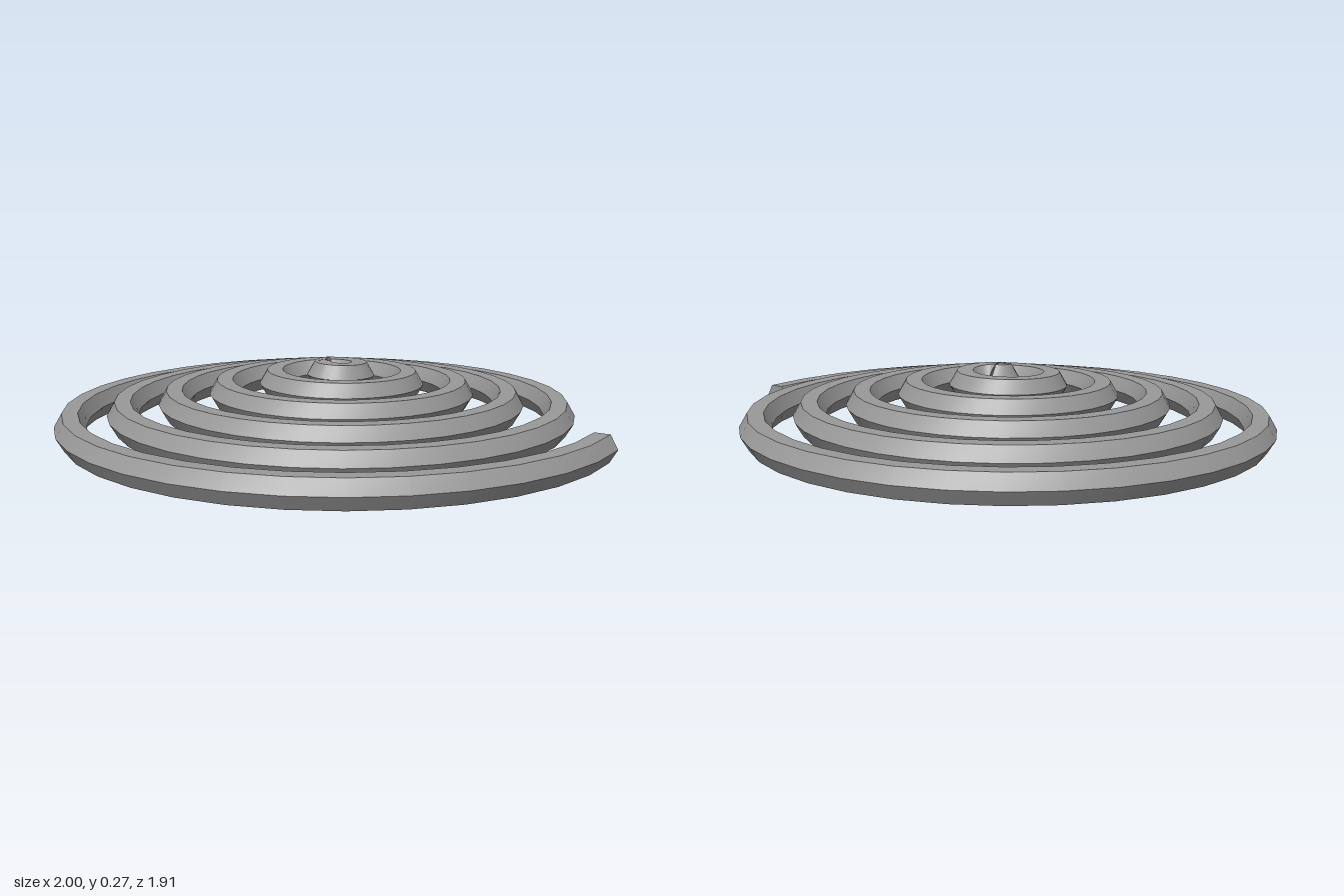
import * as THREE from 'three';
import { toCreasedNormals } from 'three/addons/utils/BufferGeometryUtils.js';

const TURNS = 5.5, STEPS = 198, SIDES = 6;
const OUTER = 0.99, PITCH = 0.18, RISE = 0.171, BAR = 0.055;
const HALF_HEIGHT = BAR * Math.sin(Math.PI / 3);
const UP = new THREE.Vector3(0, 1, 0);

// Spiral centre line: starts at the outer end, winds inward and climbs
function spiralPoint(t) {
  const a = t * TURNS * Math.PI * 2;
  const r = OUTER - PITCH * TURNS * t;
  return new THREE.Vector3(
    r * Math.cos(a) - 0.045, HALF_HEIGHT + RISE * t, r * Math.sin(a) - 0.045);
}

// Sweep a flat-topped hexagon square to the centre line and cap both ends
function hexSweep() {
  const path = Array.from({ length: STEPS + 1 }, (_, i) => spiralPoint(i / STEPS));
  const positions = [], index = [];
  path.forEach((p, i) => {
    const along = path[Math.min(i + 1, STEPS)].clone().sub(path[Math.max(i - 1, 0)]);
    const side = new THREE.Vector3().crossVectors(UP, along).normalize();
    const rise = new THREE.Vector3().crossVectors(along, side).normalize();
    for (let j = 0; j < SIDES; j++) {
      const a = j / SIDES * Math.PI * 2;
      const v = p.clone().addScaledVector(side, BAR * Math.cos(a))
        .addScaledVector(rise, BAR * Math.sin(a));
      positions.push(v.x, v.y, v.z);
    }
  });
  for (let i = 0; i < STEPS; i++) {
    for (let j = 0; j < SIDES; j++) {
      const a = i * SIDES + j, b = i * SIDES + (j + 1) % SIDES;
      index.push(a, b, a + SIDES, b, b + SIDES, a + SIDES);
    }
  }
  const last = STEPS * SIDES;
  for (let j = 1; j < SIDES - 1; j++) {
    index.push(0, j + 1, j, last, last + j, last + j + 1);
  }
  const geometry = new THREE.BufferGeometry();
  geometry.setAttribute('position', new THREE.Float32BufferAttribute(positions, 3));
  geometry.setIndex(index);
  // Smooth along the coil, sharp across the hexagon's edges
  return toCreasedNormals(geometry, 0.6);
}

export function createModel() {
  const group = new THREE.Group();
  group.name = 'spiralCoil';
  const coil = new THREE.Mesh(hexSweep(),
    new THREE.MeshStandardMaterial({ color: 0x999999 }));
  coil.name = 'coilBar';
  group.add(coil);
  return group;
}
